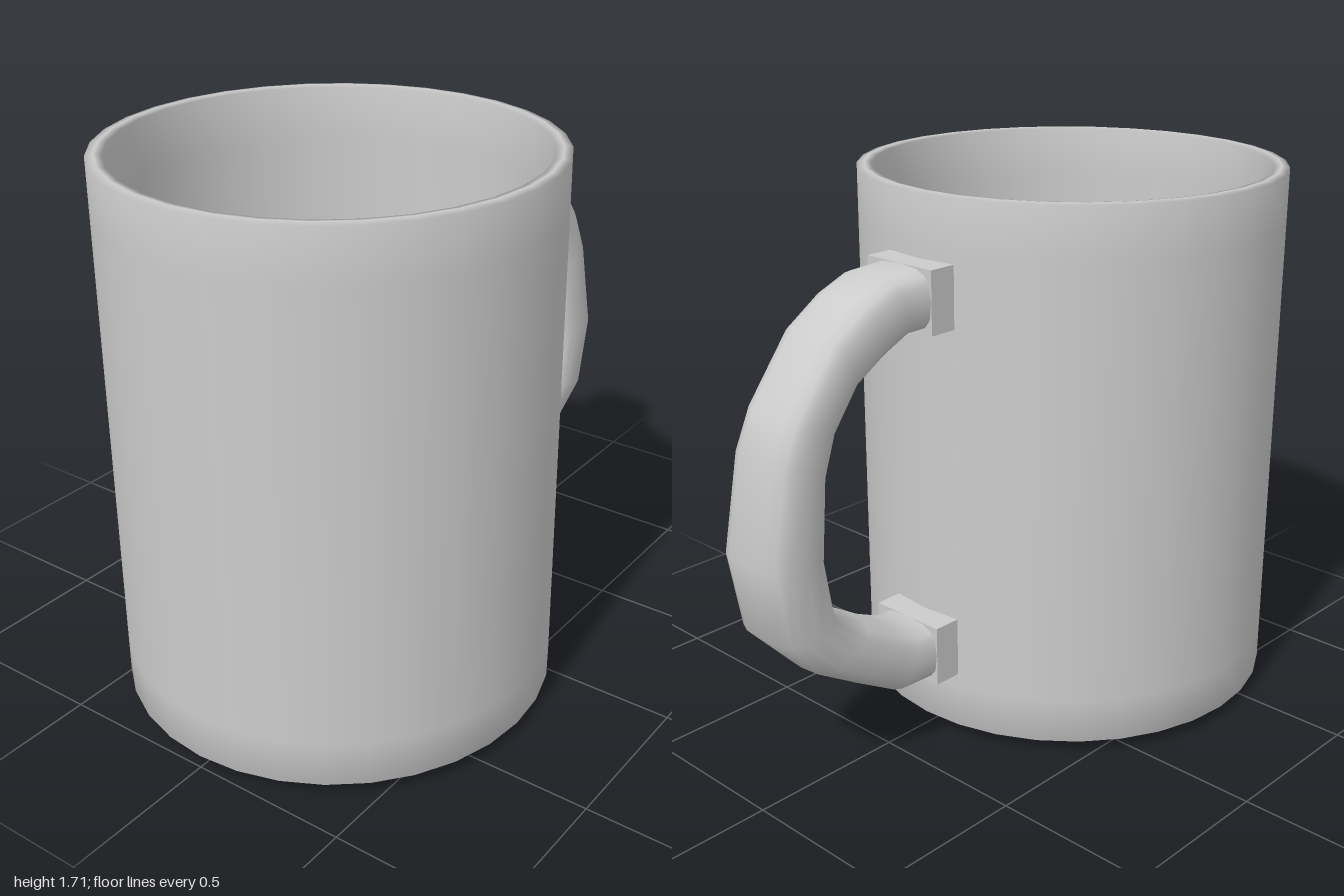
import * as THREE from 'three';

const material = new THREE.MeshStandardMaterial({ color: 0xcccccc, side: THREE.DoubleSide });
const CUP_Z = 0.333;

function addMesh(parent, name, geometry) {
  const mesh = new THREE.Mesh(geometry, material);
  mesh.name = name;
  parent.add(mesh);
  return mesh;
}

// Sweeps a softened rectangular section between outer and inner points of the side outline.
// Each station: [outer z, outer y, inner z, inner y, x shift, half width]
function handleGeometry(stations, sides = 16) {
  const positions = [], index = [];
  const soften = (v) => Math.sign(v) * Math.abs(v) ** 0.65;
  for (const [oz, oy, iz, iy, shift = 0, half = 0.128] of stations) {
    for (let j = 0; j < sides; j++) {
      const a = (j / sides) * Math.PI * 2;
      const t = (1 + soften(Math.sin(a))) / 2; // 0 inner, 1 outer
      positions.push(
        shift + half * soften(Math.cos(a)),
        THREE.MathUtils.lerp(iy, oy, t),
        THREE.MathUtils.lerp(iz, oz, t)
      );
    }
  }
  for (let i = 0; i < stations.length - 1; i++) {
    for (let j = 0; j < sides; j++) {
      const a = i * sides + j, b = i * sides + ((j + 1) % sides);
      index.push(a, a + sides, b, b, a + sides, b + sides);
    }
  }
  const geometry = new THREE.BufferGeometry();
  geometry.setAttribute('position', new THREE.Float32BufferAttribute(positions, 3));
  geometry.setIndex(index);
  geometry.computeVertexNormals();
  return geometry;
}

export function createModel() {
  const mug = new THREE.Group();
  mug.name = 'mug';

  // Hollow cup: foot, outer wall, rim, inner wall and floor in one profile
  const profile = [
    [0, 0.01], [0.48, 0.01], [0.5, 0], [0.62, 0.035], [0.667, 0.04], [0.667, 0.18],
    [0.667, 1.55], [0.667, 1.71], [0.643, 1.714], [0.62, 1.71],
    [0.62, 1.55], [0.62, 0.24], [0.6, 0.15], [0.52, 0.1], [0, 0.1],
  ].map(([r, y]) => new THREE.Vector2(r, y));
  addMesh(mug, 'cup', new THREE.LatheGeometry(profile, 32)).position.z = CUP_Z;

  const handle = new THREE.Group();
  handle.name = 'handle';
  mug.add(handle);

  // Square mounts where the handle meets the wall
  for (const [name, y] of [['upperMount', 1.427], ['lowerMount', 0.315]]) {
    addMesh(handle, name, new THREE.BoxGeometry(0.26, 0.19, 0.1)).position.set(0, y, -0.36);
  }

  // Curved grip, from upper mount to lower mount
  addMesh(handle, 'grip', handleGeometry([
    [-0.40, 1.522, -0.40, 1.332],
    [-0.53, 1.515, -0.47, 1.332],
    [-0.63, 1.475, -0.56, 1.29],
    [-0.75, 1.395, -0.66, 1.23],
    [-0.90, 1.20, -0.74, 1.12],
    [-0.95, 1.08, -0.775, 1.0, 0.005, 0.13],
    [-1.00, 0.78, -0.79, 0.76, 0.012, 0.138],
    [-0.96, 0.54, -0.76, 0.57, 0.008, 0.135],
    [-0.83, 0.40, -0.64, 0.505],
    [-0.69, 0.315, -0.55, 0.45],
    [-0.54, 0.228, -0.46, 0.41],
    [-0.40, 0.222, -0.40, 0.41],
  ]));

  return mug;
}
